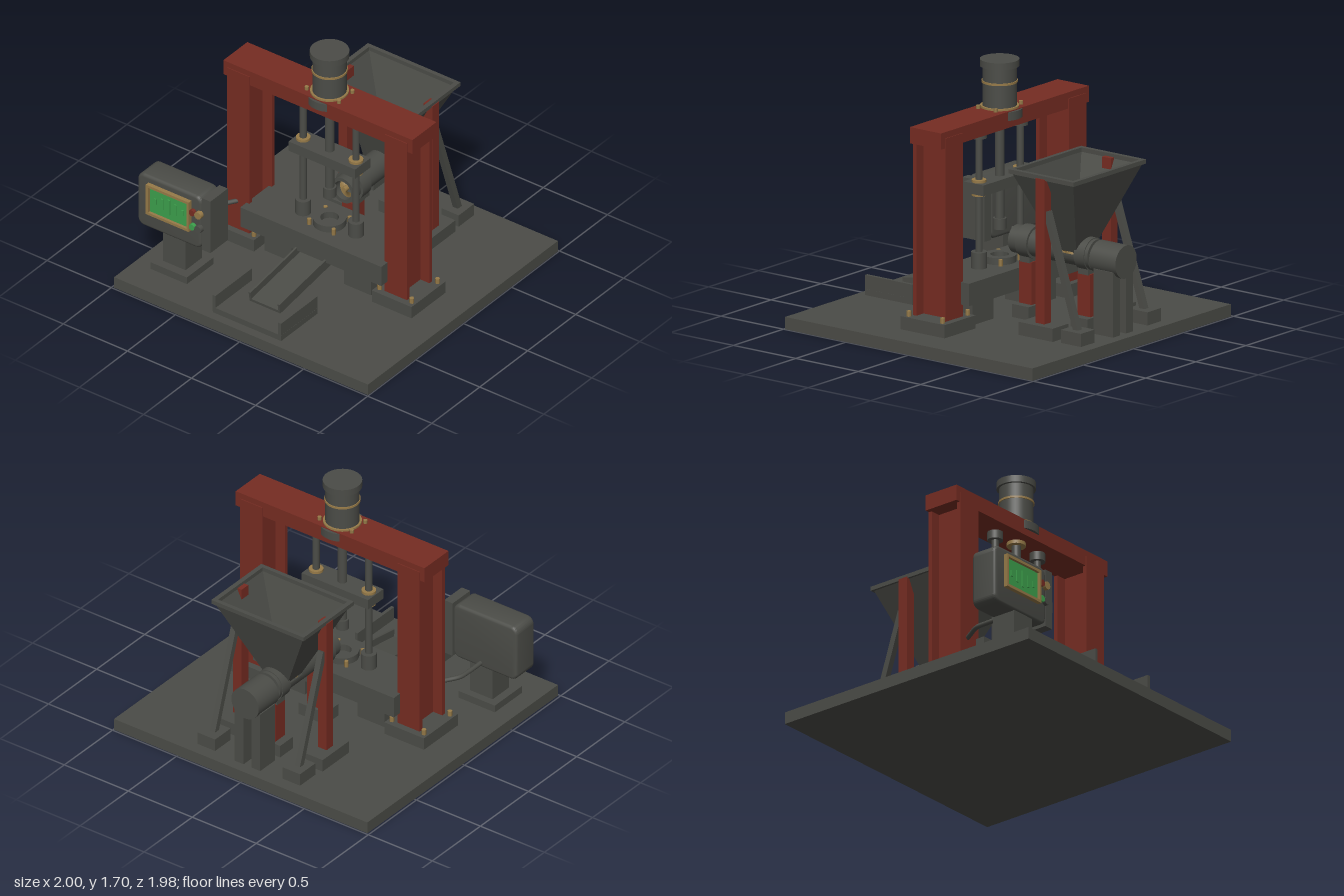
import * as THREE from 'three';
import { toCreasedNormals } from 'three/addons/utils/BufferGeometryUtils.js';
import { ParametricGeometry } from 'three/addons/geometries/ParametricGeometry.js';

const mat = (name, color) => Object.assign(new THREE.MeshStandardMaterial({ color }), { name });
const steel = mat('dark steel', 0x4b4c47);
const red = mat('oxide red', 0x762c22);
const brass = mat('brass', 0x967a48);
const green = mat('display green', 0x3da04c);
const augerBrass = mat('auger brass', 0x967a48);
augerBrass.side = THREE.DoubleSide;

export function createModel() {
  const model = new THREE.Group();
  model.name = 'pressMachine';
  model.position.x = 0.005;

  const add = (name, geo, m, x = 0, y = 0, z = 0) => {
    const mesh = new THREE.Mesh(geo, m);
    mesh.name = name;
    mesh.position.set(x, y, z);
    model.add(mesh);
    return mesh;
  };
  // box from its min and max on each axis
  const box = (name, m, x0, x1, y0, y1, z0, z1) =>
    add(name, new THREE.BoxGeometry(x1 - x0, y1 - y0, z1 - z0), m, (x0 + x1) / 2, (y0 + y1) / 2, (z0 + z1) / 2);
  // upright cylinder between two heights
  const rod = (name, m, r, x, z, y0, y1, n = 32) =>
    add(name, new THREE.CylinderGeometry(r, r, y1 - y0, n), m, x, (y0 + y1) / 2, z);
  // cylinder along z
  const rodZ = (name, m, r, x, y, z0, z1, n = 32) =>
    add(name, new THREE.CylinderGeometry(r, r, z1 - z0, n).rotateX(Math.PI / 2), m, x, y, (z0 + z1) / 2);
  // hollow ring along y, optionally only part of the turn
  const ringGeo = (ri, ro, h, start = 0, turn = Math.PI * 2) => toCreasedNormals(new THREE.LatheGeometry(
    [[ri, 0], [ro, 0], [ro, h], [ri, h], [ri, 0]].map(p => new THREE.Vector2(...p)), 40, start, turn), 0.6);

  box('basePlate', steel, -0.99, 0.99, 0, 0.08, -0.99, 0.99);

  // Portal frame: I-section columns on bolted feet, with a top beam
  const zc = 0.067;
  box('topBeam', red, -0.735, 0.74, 1.285, 1.39, -0.058, 0.192);
  for (const s of [-1, 1]) {
    const x = s * 0.615;
    box('columnFoot', steel, x - 0.155, x + 0.155, 0.08, 0.165, -0.11, 0.242);
    box('columnFrontFlange', red, x - 0.087, x + 0.087, 0.165, 1.35, 0.17, 0.198);
    box('columnBackFlange', red, x - 0.087, x + 0.087, 0.165, 1.35, -0.064, -0.036);
    box('columnWeb', red, x - 0.016, x + 0.016, 0.165, 1.29, -0.036, 0.17);
    for (const bx of [-0.125, 0.125]) for (const bz of [-0.07, 0.2])
      rod('footBolt', brass, 0.016, x + bx, bz, 0.165, 0.2, 6);
  }

  // Press table and legs
  box('pressTable', steel, -0.55, 0.55, 0.245, 0.39, -0.13, 0.263);
  for (const s of [-1, 1]) box('tableLeg', steel, s * 0.31 - 0.105, s * 0.31 + 0.105, 0.08, 0.245, -0.05, 0.19);

  // Press cylinder on the beam
  rod('cylinderFlange', steel, 0.145, 0, zc, 1.33, 1.385, 40);
  rod('cylinderSeat', brass, 0.122, 0, zc, 1.385, 1.402, 40);
  rod('cylinderBody', steel, 0.108, 0, zc, 1.4, 1.66, 40);
  rod('cylinderBand', brass, 0.114, 0, zc, 1.55, 1.564, 40);
  rod('cylinderCap', steel, 0.124, 0, zc, 1.655, 1.7, 40);
  for (const x of [-0.126, 0.126]) for (const z of [-0.07, 0.07])
    rod('cylinderBolt', brass, 0.014, x, zc + z, 1.39, 1.412, 6);

  // Ram, guide rods and crosshead
  rod('ramGland', brass, 0.06, 0, zc, 1.262, 1.286);
  rod('ram', steel, 0.03, 0, zc, 0.62, 1.27);
  rod('ramTip', steel, 0.042, 0, zc, 0.6, 0.67);
  box('crosshead', steel, -0.26, 0.26, 0.875, 0.945, zc - 0.08, zc + 0.08);
  for (const s of [-1, 1]) {
    rod('guideRod', steel, 0.023, s * 0.206, zc, 0.45, 1.25);
    rod('guideTopCollar', steel, 0.05, s * 0.206, zc, 1.23, 1.286);
    rod('guideBottomCollar', steel, 0.05, s * 0.206, zc, 0.39, 0.495);
    for (const y of [0.858, 0.945]) rod('guideBushing', brass, 0.046, s * 0.206, zc, y, y + 0.017);
  }

  // Die ring with bolts
  add('dieRing', ringGeo(0.058, 0.105, 0.045), steel, 0, 0.39, zc);
  for (const x of [-0.095, 0.095]) for (const z of [-0.085, 0.085])
    rod('dieBolt', brass, 0.014, x, zc + z, 0.39, 0.432, 6);

  // Extruder barrel, open on top beneath the hopper
  const yb = 0.56;
  const barrel = (name, ri, ro, z0, z1, start, turn) =>
    add(name, ringGeo(ri, ro, z1 - z0, start, turn).rotateX(Math.PI / 2), steel, 0, yb, z0);
  barrel('barrelFront', 0.066, 0.09, -0.47, -0.07);
  barrel('barrelTrough', 0.066, 0.09, -0.62, -0.47, -Math.PI / 2, Math.PI);
  barrel('barrelRear', 0.066, 0.09, -0.7, -0.62);
  barrel('frontClamp', 0.088, 0.106, -0.23, -0.14);
  barrel('rearClamp', 0.088, 0.106, -0.69, -0.61);
  barrel('barrelEndFlange', 0.03, 0.1, -0.715, -0.69);
  rodZ('augerShaft', brass, 0.018, 0, yb, -0.75, -0.08, 20);
  add('augerFlight', new ParametricGeometry((u, v, t) => {
    const a = u * Math.PI * 14, r = 0.016 + 0.044 * v;
    t.set(r * Math.cos(a), r * Math.sin(a), -0.69 + 0.61 * u);
  }, 280, 1), augerBrass, 0, yb, 0);

  // Barrel supports
  for (const z of [-0.18, -0.65]) {
    box('barrelSupportFoot', steel, -0.105, 0.105, 0.08, 0.165, z - 0.07, z + 0.065);
    box('barrelSupport', red, -0.052, 0.052, 0.165, 0.44, z - 0.05, z + 0.05);
    box('barrelSaddle', steel, -0.06, 0.06, 0.435, 0.485, z - 0.04, z + 0.04);
  }

  // Extruder drive
  rodZ('driveCoupling', brass, 0.037, 0, 0.555, -0.745, -0.7);
  rodZ('driveMotor', steel, 0.107, 0, 0.553, -0.945, -0.735, 40);
  for (const s of [-1, 1]) box('driveLeg', steel, s * 0.065 - 0.035, s * 0.065 + 0.035, 0.08, 0.5, -0.92, -0.765);

  // Hopper lofted through rectangular sections [halfX, halfZ, y, centreZ]
  const sections = [[0.088, 0.072, 0.575, -0.545], [0.345, 0.245, 1.092, -0.555], [0.361, 0.26, 1.092, -0.555],
    [0.361, 0.26, 1.12, -0.555], [0.33, 0.232, 1.12, -0.555], [0.33, 0.232, 1.092, -0.555],
    [0.075, 0.06, 0.575, -0.545], [0.088, 0.072, 0.575, -0.545]];
  const pos = [], idx = [];
  for (const [hx, hz, y, z] of sections)
    for (const [sx, sz] of [[-1, 1], [1, 1], [1, -1], [-1, -1]]) pos.push(sx * hx, y, z + sz * hz);
  for (let i = 0; i < sections.length - 1; i++) for (let j = 0; j < 4; j++) {
    const a = i * 4 + j, b = i * 4 + (j + 1) % 4;
    idx.push(a, b, b + 4, a, b + 4, a + 4);
  }
  let hopper = new THREE.BufferGeometry();
  hopper.setAttribute('position', new THREE.Float32BufferAttribute(pos, 3));
  hopper.setIndex(idx);
  hopper = hopper.toNonIndexed();
  hopper.computeVertexNormals();
  add('hopper', hopper, steel);

  // Hopper legs and sloping rear braces
  for (const s of [-1, 1]) {
    box('hopperFoot', steel, s * 0.335 - 0.08, s * 0.335 + 0.08, 0.08, 0.165, -0.69, -0.418);
    box('hopperLeg', red, s * 0.332 - 0.034, s * 0.332 + 0.034, 0.165, 1.1, -0.585, -0.515);
    box('braceFoot', steel, s * 0.332 - 0.068, s * 0.332 + 0.068, 0.08, 0.165, -0.905, -0.745);
    const brace = add('hopperBrace', new THREE.BoxGeometry(0.04, 0.78, 0.04), steel, s * 0.332, 0.52, -0.705);
    brace.rotation.x = Math.atan2(0.24, 0.73);
  }

  // Discharge chute, a sloping channel
  const chute = new THREE.Group();
  chute.name = 'dischargeChute';
  for (const [x, y, w, h] of [[0, 0, 0.24, 0.02], [-0.113, 0.025, 0.014, 0.07], [0.113, 0.025, 0.014, 0.07]]) {
    const part = new THREE.Mesh(new THREE.BoxGeometry(w, h, 0.56), steel);
    part.name = 'chutePanel';
    part.position.set(x, y, 0);
    chute.add(part);
  }
  chute.position.set(0, 0.175, 0.465);
  chute.rotation.x = 0.15;
  model.add(chute);

  // Collecting tray
  box('trayFloor', steel, -0.265, 0.268, 0.08, 0.12, 0.55, 0.93);
  for (const s of [-1, 1]) box('trayWall', steel, s * 0.256 - 0.011, s * 0.256 + 0.011, 0.09, 0.21, 0.55, 0.93);

  // Control cabinet on its pedestal
  box('cabinetFoot', steel, -0.865, -0.58, 0.08, 0.13, 0.5, 0.78);
  box('cabinetPedestal', steel, -0.81, -0.635, 0.13, 0.35, 0.55, 0.72);
  const w = 0.25, h = 0.195, r = 0.05;
  const outline = new THREE.Shape();
  outline.absarc(w - r, h - r, r, 0, Math.PI / 2);
  outline.absarc(r - w, h - r, r, Math.PI / 2, Math.PI);
  outline.absarc(r - w, r - h, r, Math.PI, Math.PI * 1.5);
  outline.absarc(w - r, r - h, r, Math.PI * 1.5, Math.PI * 2);
  const cab = new THREE.ExtrudeGeometry(outline, { depth: 0.15, bevelThickness: 0.018, bevelSize: 0.018, bevelOffset: -0.018, bevelSegments: 3 });
  add('controlCabinet', toCreasedNormals(cab, 0.6), steel, -0.755, 0.535, 0.56);
  box('cabinetSideBox', steel, -0.505, -0.44, 0.34, 0.73, 0.54, 0.722);

  // Display with bezel and level bars
  box('displayScreen', green, -0.9, -0.6, 0.475, 0.67, 0.72, 0.738);
  for (const [x0, x1, y0, y1] of [[-0.918, -0.583, 0.665, 0.683], [-0.918, -0.583, 0.46, 0.478],
    [-0.918, -0.9, 0.478, 0.665], [-0.601, -0.583, 0.478, 0.665]])
    box('displayBezel', brass, x0, x1, y0, y1, 0.72, 0.757);
  [0.04, 0.08, 0.11, 0.08, 0.04].forEach((bh, i) => {
    const x = -0.855 + i * 0.053;
    box('levelBar', green, x - 0.009, x + 0.009, 0.571 - bh / 2, 0.571 + bh / 2, 0.735, 0.745);
  });

  // Buttons
  for (const [m, x, y, br] of [[red, -0.565, 0.608, 0.022], [brass, -0.518, 0.606, 0.026],
    [green, -0.565, 0.5, 0.022], [steel, -0.518, 0.5, 0.026]])
    rodZ('controlButton', m, br, x, y, 0.71, 0.752, 24);

  // Cable to the frame
  const path = new THREE.CatmullRomCurve3([[-0.62, 0.37, 0.18], [-0.67, 0.37, 0.26], [-0.715, 0.37, 0.34],
    [-0.722, 0.37, 0.42], [-0.722, 0.37, 0.56]].map(p => new THREE.Vector3(...p)));
  add('cable', new THREE.TubeGeometry(path, 32, 0.015, 12), steel);

  return model;
}
